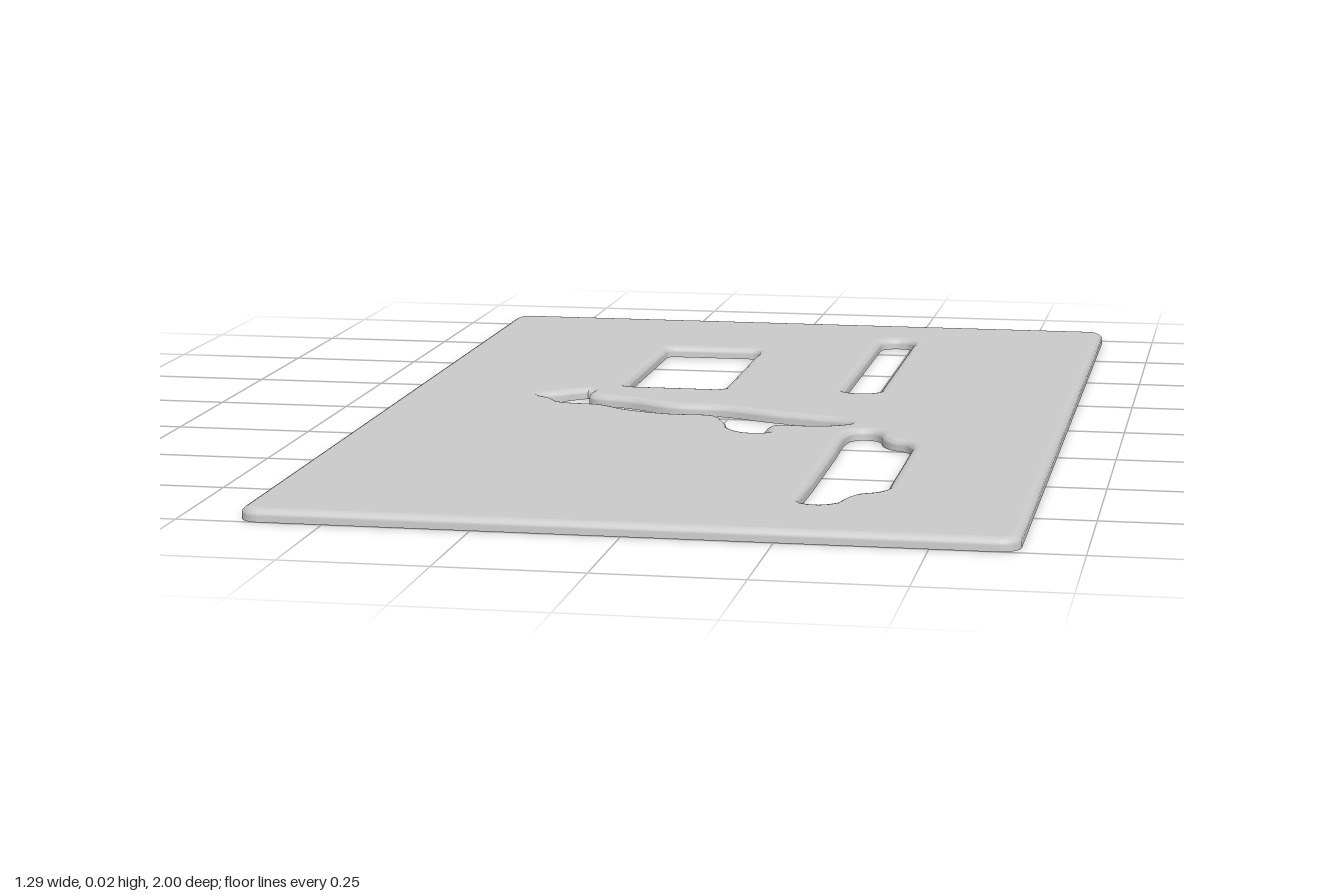
import * as THREE from 'three';
import { toCreasedNormals } from 'three/addons/utils/BufferGeometryUtils.js';

const THICKNESS = 0.022, BEVEL = 0.012, INSET = 0.016;

// Rounded rectangle in plan; z runs towards the front, so shape y = -z
function roundedRect(path, x0, x1, z0, z1, r) {
  const b = -z1, t = -z0, q = Math.PI / 2;
  path.moveTo(x0 + r, b);
  path.lineTo(x1 - r, b).absarc(x1 - r, b + r, r, -q, 0, false);
  path.lineTo(x1, t - r).absarc(x1 - r, t - r, r, 0, q, false);
  path.lineTo(x0 + r, t).absarc(x0 + r, t - r, r, q, 2 * q, false);
  path.lineTo(x0, b + r).absarc(x0 + r, b + r, r, 2 * q, 3 * q, false);
  return path;
}

// Smooth closed outline through [x, z] points
function smoothOutline(points, samples) {
  const curve = new THREE.CatmullRomCurve3(points.map(([x, z]) => new THREE.Vector3(x, -z, 0)), true);
  const pts = curve.getSpacedPoints(samples).slice(0, -1);
  return new THREE.Path(pts.map((p) => new THREE.Vector2(p.x, p.y)));
}

export function createModel() {
  const group = new THREE.Group();
  group.name = 'stencilPlate';

  const plate = roundedRect(new THREE.Shape(), -0.645, 0.645, -1, 1, 0.035);

  // Window and long slot
  plate.holes.push(roundedRect(new THREE.Path(), -0.24, -0.045, -0.65, -0.2, 0.016));
  plate.holes.push(roundedRect(new THREE.Path(), 0.19, 0.26, -0.825, -0.205, 0.034));

  // Stepped slot
  plate.holes.push(smoothOutline([
    [0.255, 0.2], [0.265, 0.165], [0.29, 0.155], [0.313, 0.168], [0.325, 0.21], [0.345, 0.238],
    [0.372, 0.252], [0.387, 0.29], [0.388, 0.34], [0.388, 0.6], [0.387, 0.65], [0.372, 0.68],
    [0.342, 0.7], [0.325, 0.735], [0.313, 0.778], [0.288, 0.793], [0.264, 0.782], [0.255, 0.745],
    [0.255, 0.6], [0.255, 0.34],
  ], 100));

  // Winding cut-out
  plate.holes.push(smoothOutline([
    [-0.384, -0.085], [-0.35, -0.117], [-0.298, -0.158], [-0.288, -0.1], [-0.204, -0.071],
    [-0.114, -0.025], [-0.013, -0.019], [0.082, 0.019], [0.235, 0.073], [0.246, 0.1],
    [0.2, 0.129], [0.112, 0.135], [0.1, 0.165], [0.108, 0.207], [0.073, 0.214],
    [0.036, 0.177], [0.013, 0.108], [-0.013, 0.064], [-0.103, 0.06], [-0.183, 0.034],
    [-0.246, -0.008], [-0.325, -0.02], [-0.352, -0.055],
  ], 120));

  let geometry = new THREE.ExtrudeGeometry(plate, {
    depth: THICKNESS - BEVEL, steps: 1, curveSegments: 6,
    bevelThickness: BEVEL, bevelSize: INSET, bevelOffset: -INSET, bevelSegments: 4,
  });

  // Flatten the underside so only the upper edges are rounded
  const pos = geometry.attributes.position;
  for (let i = 0; i < pos.count; i++) pos.setZ(i, Math.max(0, pos.getZ(i)));
  geometry.rotateX(-Math.PI / 2);
  geometry = toCreasedNormals(geometry, 0.7);

  // Keep the level faces evenly shaded
  const p = geometry.attributes.position, n = geometry.attributes.normal;
  for (let i = 0; i < p.count; i += 3) {
    const y = p.getY(i);
    if (Math.abs(p.getY(i + 1) - y) + Math.abs(p.getY(i + 2) - y) > 1e-5) continue;
    for (let k = 0; k < 3; k++) n.setXYZ(i + k, 0, y > THICKNESS / 2 ? 1 : -1, 0);
  }

  const mesh = new THREE.Mesh(geometry, new THREE.MeshStandardMaterial({ color: 0xcccccc }));
  mesh.name = 'plate';
  group.add(mesh);
  return group;
}
